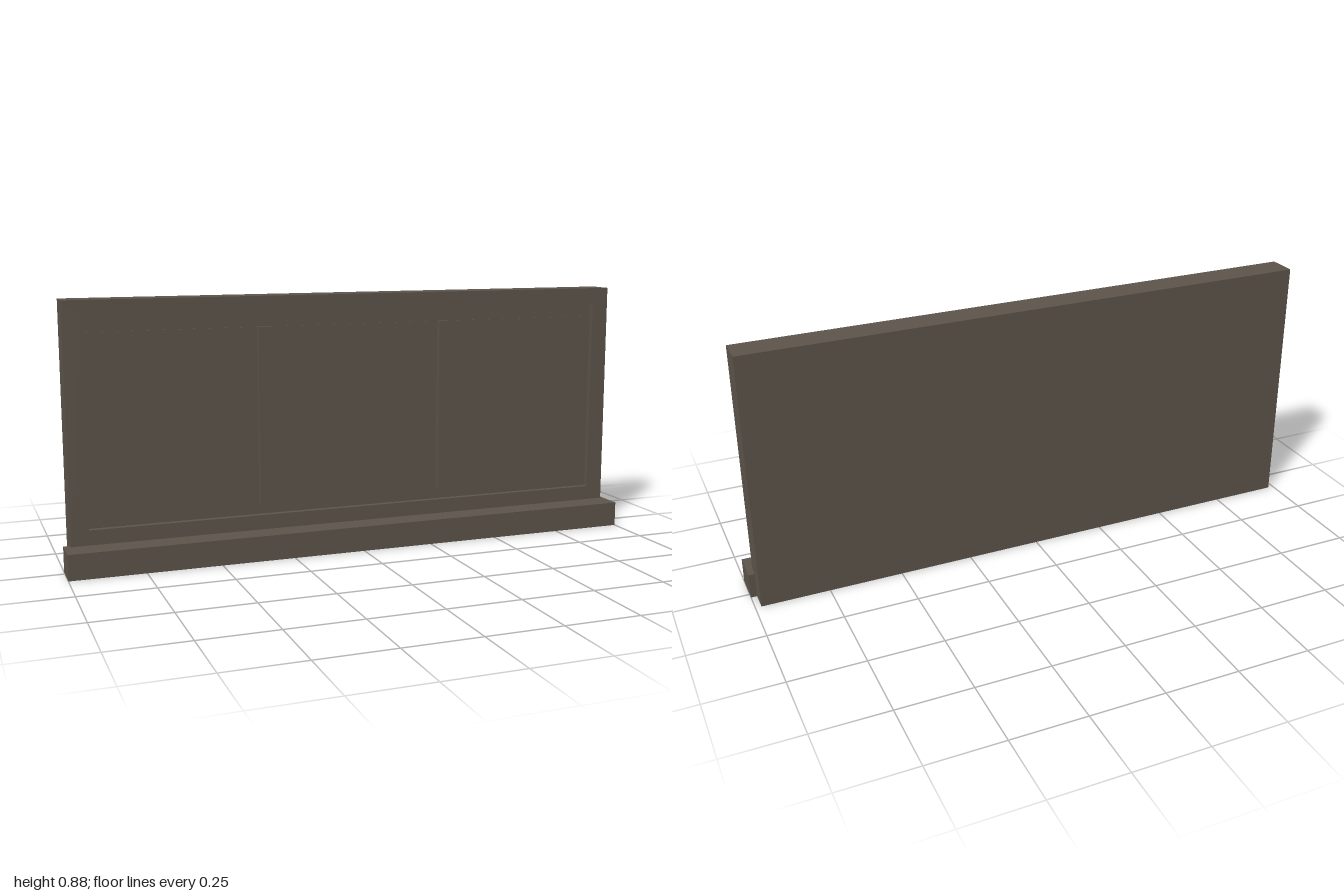
import * as THREE from 'three';

export function createModel() {
  const group = new THREE.Group();
  const stone = new THREE.MeshStandardMaterial({ color: 0x5e564c });
  stone.name = 'brownGrey';

  // Box given by its lower and upper corners
  function box(name, [x0, y0, z0], [x1, y1, z1]) {
    const mesh = new THREE.Mesh(new THREE.BoxGeometry(x1 - x0, y1 - y0, z1 - z0), stone);
    mesh.name = name;
    mesh.position.set((x0 + x1) / 2, (y0 + y1) / 2, (z0 + z1) / 2);
    group.add(mesh);
  }

  function rectangle(path, x, y0, y1) {
    path.moveTo(-x, y0);
    path.lineTo(x, y0);
    path.lineTo(x, y1);
    path.lineTo(-x, y1);
    path.closePath();
    return path;
  }

  // Slab behind the frame, reaching the floor
  box('backSlab', [-0.98, 0, -0.085], [0.98, 0.878, -0.01]);

  // Raised frame around the recessed field, starting just above the plinth
  const outline = rectangle(new THREE.Shape(), 0.98, 0.09, 0.878);
  outline.holes.push(rectangle(new THREE.Path(), 0.92, 0.14, 0.82));
  const frame = new THREE.Mesh(
    new THREE.ExtrudeGeometry(outline, { depth: 0.023, bevelEnabled: false }), stone);
  frame.name = 'frontFrame';
  frame.position.z = -0.01;
  group.add(frame);

  // Thin infill panel with a small ledge at its top
  box('infillPanel', [-0.92, 0.14, -0.01], [0.92, 0.775, -0.007]);

  // Two upright dividers
  for (const x of [-0.327, 0.327]) {
    box('divider', [x - 0.02, 0.18, -0.01], [x + 0.02, 0.777, 0.011]);
  }

  // Plinth projecting at the front and slightly at both ends
  box('plinth', [-1, 0, -0.02], [1, 0.086, 0.086]);

  return group;
}
